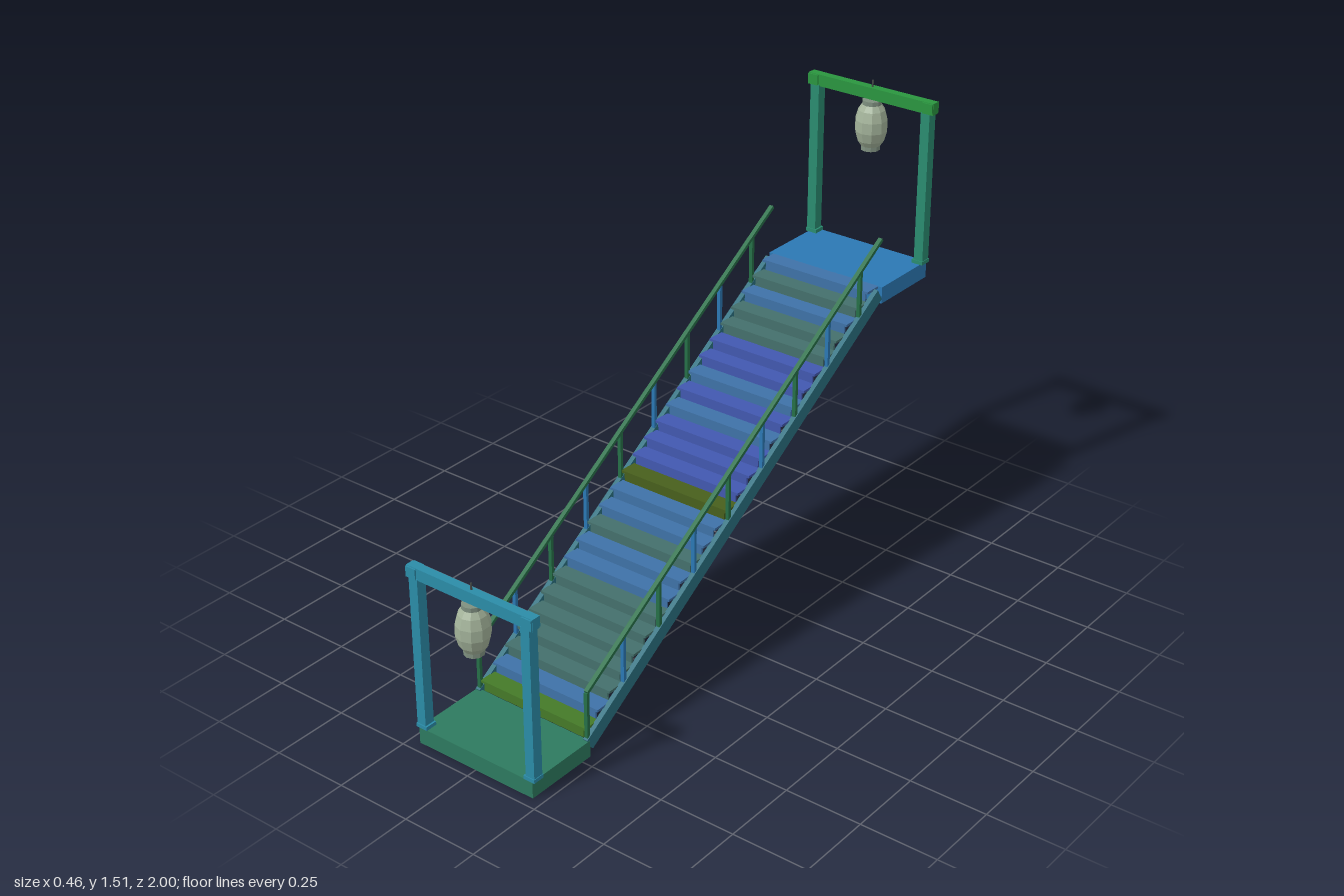
import * as THREE from 'three';

const STEPS = 26, RUN = 1.43 / STEPS, RISE = 0.895 / STEPS;
const Z0 = 0.715, Y0 = 0.055;
const SLOPE = Math.atan2(RISE, RUN);

const mat = (color) => new THREE.MeshStandardMaterial({ color, flatShading: true });
const BLUE = mat(0x2b78b4), GREEN = mat(0x2d7a5f), TEAL = mat(0x2b8ca8), STRINGER = mat(0x2a7080);
const RAIL = mat(0x267048), BEAM = mat(0x2a963f), POST = mat(0x2a8c70);
const LANTERN = mat(0xa3b39a), CAP = mat(0x7f9080), DARK = mat(0x444a48);
const STEP_MATS = {
  b: mat(0x3f72a8), i: mat(0x4258b0), t: mat(0x44706c), g: mat(0x457a28), o: mat(0x48601c),
};
const STEP_COLOURS = 'gbtttttbbtbboiiibibiittbtbbb';

function box(name, w, h, d, x, y, z, material) {
  const mesh = new THREE.Mesh(new THREE.BoxGeometry(w, h, d), material);
  mesh.name = name;
  mesh.position.set(x, y, z);
  return mesh;
}

// Barrel lantern with end collars and a hanging rod
function lantern(y, z) {
  const g = new THREE.Group();
  g.name = 'lantern';
  const profile = [
    [0.031, -0.068], [0.043, -0.05], [0.052, -0.018], [0.052, 0.018], [0.043, 0.05], [0.031, 0.068],
  ].map(([r, h]) => new THREE.Vector2(r, h));
  const body = new THREE.Mesh(new THREE.LatheGeometry(profile, 10), LANTERN);
  body.name = 'lanternBody';
  g.add(body);
  for (const s of [-1, 1]) {
    const collar = new THREE.Mesh(new THREE.CylinderGeometry(0.031, 0.031, 0.016, 10), CAP);
    collar.name = 'lanternCollar';
    collar.position.y = s * 0.074;
    g.add(collar);
  }
  const rod = new THREE.Mesh(new THREE.CylinderGeometry(0.003, 0.003, 0.065, 6), DARK);
  rod.name = 'lanternRod';
  rod.position.y = 0.113;
  g.add(rod);
  g.position.set(0, y, z);
  return g;
}

// Post-and-beam gate standing on a landing
function gate(name, y, z, postMat, beamMat) {
  const g = new THREE.Group();
  g.name = name;
  for (const s of [-1, 1]) {
    g.add(box('gatePost', 0.032, 0.505, 0.034, s * 0.206, y + 0.2525, z, postMat));
    g.add(box('gateFoot', 0.04, 0.012, 0.04, s * 0.204, y + 0.006, z, postMat));
    g.add(box('beamEnd', 0.036, 0.034, 0.038, s * 0.213, y + 0.52, z, beamMat));
  }
  g.add(box('gateBeam', 0.464, 0.038, 0.028, 0, y + 0.52, z, beamMat));
  g.add(lantern(y + 0.415, z));
  return g;
}

export function createModel() {
  const model = new THREE.Group();
  model.name = 'staircase';

  // Landings
  model.add(box('lowerLanding', 0.43, 0.055, 0.25, 0, 0.0275, 0.84, GREEN));
  model.add(box('upperLanding', 0.43, 0.055, 0.25, 0, 0.9225, -0.84, BLUE));

  // Gates with lanterns
  model.add(gate('lowerGate', 0.055, 0.947, TEAL, TEAL));
  model.add(gate('upperGate', 0.95, -0.947, POST, BEAM));

  // Treads and risers
  const stairs = new THREE.Group();
  stairs.name = 'steps';
  for (let i = 0; i < STEPS; i++) {
    const m = STEP_MATS[STEP_COLOURS[i]];
    const top = Y0 + (i + 1) * RISE, front = Z0 - i * RUN;
    stairs.add(box('tread', 0.4, 0.008, RUN + 0.004, 0, top - 0.004, front - RUN / 2, m));
    stairs.add(box('riser', 0.38, RISE - 0.004, 0.006, 0, top - RISE / 2 - 0.002, front - 0.004, m));
  }
  model.add(stairs);

  // Stringers, handrails and balusters on both sides
  for (const s of [-1, 1]) {
    const side = new THREE.Group();
    side.name = s > 0 ? 'leftSide' : 'rightSide';
    const stringer = box('stringer', 0.016, 0.046, 1.675, s * 0.206, 0.484, 0.004, STRINGER);
    stringer.rotation.x = SLOPE;
    side.add(stringer);
    const rail = box('handrail', 0.014, 0.011, 1.685, s * 0.206, 0.665, 0.003, RAIL);
    rail.rotation.x = SLOPE;
    side.add(rail);
    for (let i = 0; i < 9; i++) {
      const z = Z0 - 3 * i * RUN, y = Y0 + 3 * i * RISE;
      side.add(box('baluster', 0.012, 0.16, 0.011, s * 0.205, y + 0.08, z, i % 2 ? BLUE : RAIL));
    }
    model.add(side);
  }
  return model;
}
